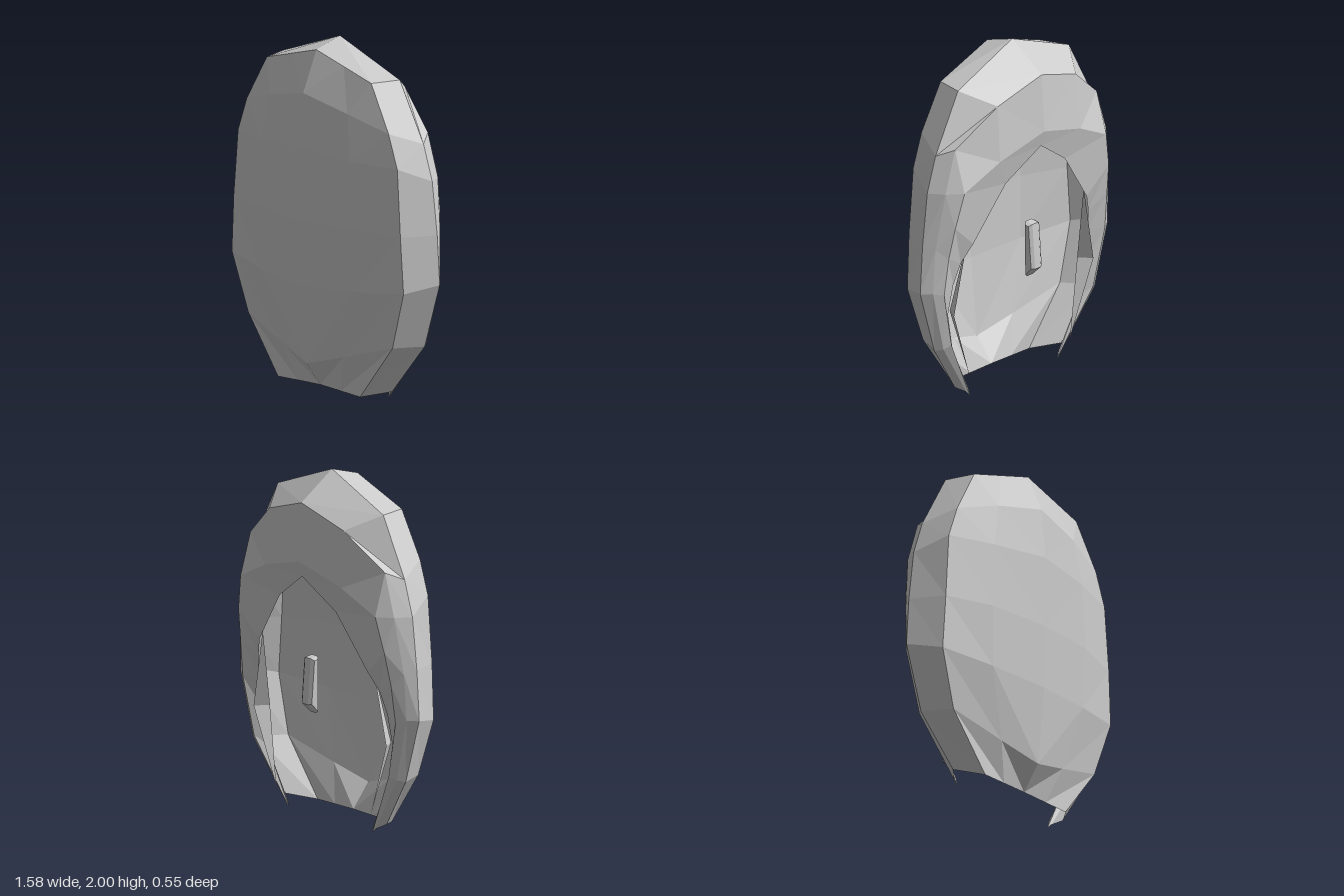
import * as THREE from 'three';

const material = new THREE.MeshStandardMaterial({
  color: 0xcccccc, flatShading: true, side: THREE.DoubleSide,
});

// Completes a half row (centre point first) with its mirror image.
const mirrorRow = (half) => [
  ...half.slice(1).reverse().map(([x, y, z]) => [-x, y, z]), ...half,
];

// Joins mirrored rows into a faceted skin, with symmetrical diagonals.
function skin(name, halfRows, flip = false) {
  const rows = halfRows.map(mirrorRow);
  const n = rows[0].length, mid = (n - 1) / 2;
  const index = [];
  const tri = (a, b, c) => index.push(a, ...(flip ? [c, b] : [b, c]));
  for (let r = 0; r < rows.length - 1; r++) {
    for (let c = 0; c < n - 1; c++) {
      const a = r * n + c, b = a + n;
      if (c >= mid) { tri(a, b, a + 1); tri(a + 1, b, b + 1); }
      else { tri(a, b, b + 1); tri(a, b + 1, a + 1); }
    }
  }
  return mesh(name, rows.flat(2), index);
}

function mesh(name, positions, index) {
  const g = new THREE.BufferGeometry();
  g.setAttribute('position', new THREE.Float32BufferAttribute(positions, 3));
  g.setIndex(index);
  const flat = g.toNonIndexed();
  flat.computeVertexNormals();
  const m = new THREE.Mesh(flat, material);
  m.name = name;
  return m;
}

// Half outlines, from top centre down the left side.
const frontEdge = [
  [0, 1.95, 0.14], [0.42, 1.83, 0.12], [0.57, 1.57, 0.13], [0.64, 1.38, 0.13],
  [0.67, 1.0, 0.135], [0.69, 0.68, 0.13], [0.58, 0.35, 0.11], [0.33, 0.03, 0.12],
];
const outerEdge = [
  [0, 2, -0.04], [0.47, 1.83, -0.05], [0.66, 1.5, -0.05], [0.73, 1.3, -0.05],
  [0.77, 1.0, -0.05], [0.79, 0.72, -0.05], [0.67, 0.35, -0.05], [0.45, 0.06, -0.01],
];
const hoodRidge = [
  [0, 1.84, -0.255], [0.33, 1.74, -0.22], [0.6, 1.54, -0.14], [0.68, 1.3, -0.14],
  [0.73, 0.98, -0.11], [0.74, 0.72, -0.1], [0.64, 0.36, -0.09], [0.4, 0.03, -0.05],
];
const hoodEdge = [
  [0, 1.51, -0.275], [0.34, 1.42, -0.245], [0.6, 1.3, -0.21], [0.65, 1.1, -0.185],
  [0.67, 0.92, -0.155], [0.68, 0.7, -0.13], [0.6, 0.38, -0.115], [0.37, 0, -0.05],
];
const innerLip = [
  [0, 1.42, -0.25], [0.25, 1.26, -0.21], [0.48, 0.96, -0.17], [0.54, 0.85, -0.13],
  [0.57, 0.72, -0.1], [0.59, 0.55, -0.08], [0.54, 0.33, -0.07], [0.38, 0.04, -0.05],
];

export function createModel() {
  const group = new THREE.Group();
  group.name = 'shell';

  // Domed front: centre, inner column and front edge of each row
  group.add(skin('frontDome', [
    [[0, 1.95, 0.14], [0.21, 1.89, 0.13], frontEdge[1]],
    [[0, 1.72, 0.24], [0.31, 1.65, 0.2], frontEdge[2]],
    [[0, 1.42, 0.268], [0.36, 1.39, 0.22], frontEdge[3]],
    [[0, 1.0, 0.272], [0.38, 1.01, 0.225], frontEdge[4]],
    [[0, 0.63, 0.26], [0.37, 0.65, 0.215], frontEdge[5]],
    [[0, 0.18, 0.215], [0.25, 0.25, 0.17], frontEdge[6]],
    [[0, 0.04, 0.11], [0.17, 0.035, 0.115], frontEdge[7]],
  ]));

  // Side wall, hood over the open back and its inner lip
  group.add(skin('sideWall', [frontEdge, outerEdge], true));
  group.add(skin('hood', [outerEdge, hoodRidge, hoodEdge], true));
  group.add(skin('hoodLip', [hoodEdge, innerLip], true));

  // Thin pointed flaps inside the opening
  for (const s of [1, -1]) {
    const points = [[0.49, 1.0, -0.14], [0.59, 0.55, -0.125], [0.42, 0.12, -0.1], [0.54, 0.55, -0.05]];
    const flap = mesh(s > 0 ? 'leftFlap' : 'rightFlap',
      points.flatMap(([x, y, z]) => [s * x, y, z]),
      s > 0 ? [0, 1, 3, 1, 2, 3] : [0, 3, 1, 1, 3, 2]);
    group.add(flap);
  }

  // Small bevelled handle
  const profile = new THREE.Shape([[-0.175, 0.65], [-0.172, 0.945], [-0.198, 0.94], [-0.217, 0.695]]
    .map(([z, y]) => new THREE.Vector2(z, y)));
  const grip = new THREE.ExtrudeGeometry(profile, {
    depth: 0.05, bevelEnabled: true, bevelSize: 0.012, bevelThickness: 0.02, bevelSegments: 1,
  });
  grip.translate(0, 0, -0.025).rotateY(-Math.PI / 2);
  const handle = new THREE.Mesh(grip, material);
  handle.name = 'handle';
  group.add(handle);

  return group;
}
